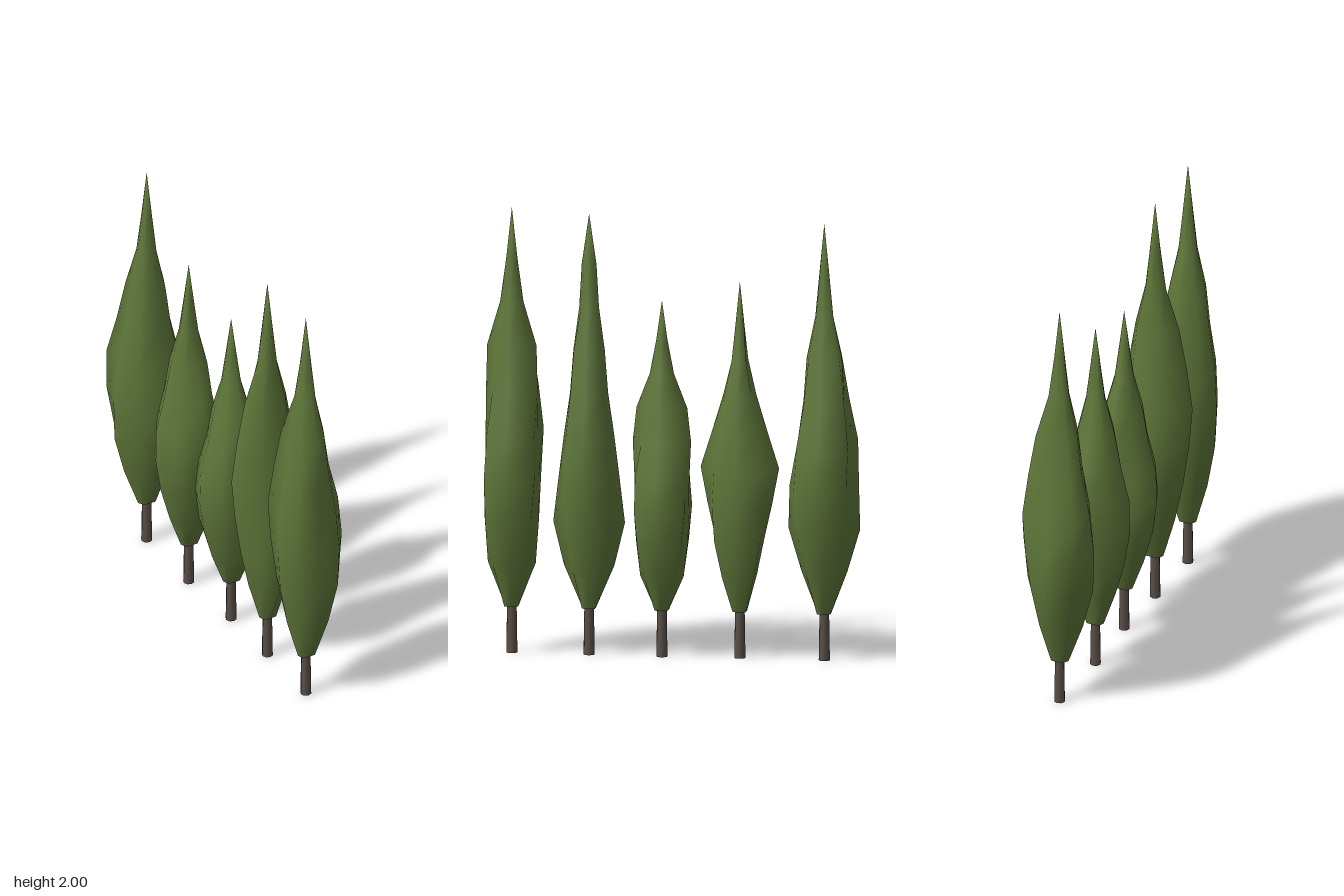
import * as THREE from 'three';

// Typical foliage radius at each ring, from the skirt up to just under the tip
const BASE = [0.04, 0.095, 0.13, 0.14, 0.132, 0.104, 0.085, 0.045, 0.024];
const SIDES = 8;

// Each tree: position, height, radii along z, and [largest radius, ring of the bulge]
// for the other six directions, going round from front-left to front-right
const TREES = [
  { x: 0, z: 0.715, h: 2.0,
    depth: [0.03, 0.107, 0.121, 0.119, 0.117, 0.115, 0.11, 0.052, 0.025],
    bulge: [[0.146, 2], [0.182, 3], [0.165, 4], [0.147, 5], [0.14, 3], [0.14, 3]] },
  { x: 0, z: 0.37, h: 1.98,
    depth: [0.03, 0.113, 0.16, 0.137, 0.113, 0.085, 0.07, 0.044, 0.033],
    bulge: [[0.135, 3], [0.168, 4], [0.14, 2], [0.134, 3], [0.155, 5], [0.125, 3]] },
  { x: 0, z: 0.045, h: 1.6,
    depth: [0.03, 0.097, 0.115, 0.119, 0.123, 0.13, 0.113, 0.054, 0.025],
    bulge: [[0.148, 4], [0.17, 3], [0.165, 4], [0.165, 3], [0.155, 4], [0.158, 3]] },
  { x: -0.02, z: -0.3, h: 1.69,
    depth: [0.03, 0.075, 0.108, 0.144, 0.175, 0.124, 0.075, 0.028, 0.018],
    bulge: [[0.154, 3], [0.133, 3], [0.165, 3], [0.145, 4], [0.165, 4], [0.151, 3]] },
  { x: -0.02, z: -0.677, h: 1.96,
    depth: [0.03, 0.103, 0.16, 0.155, 0.12, 0.093, 0.079, 0.04, 0.022],
    bulge: [[0.168, 3], [0.175, 3], [0.148, 5], [0.185, 4], [0.163, 2], [0.15, 3]] },
];

const FOLIAGE_START = 0.21;

// Radius of one ring corner
function radiusAt(tree, ring, side) {
  if (side % 4 === 0) return tree.depth[ring];
  const [max, peak] = tree.bulge[side < 4 ? side - 1 : side - 2];
  const swell = max / BASE[peak] - 1;
  return BASE[ring] * (1 + swell * Math.exp(-((ring - peak) ** 2) / 4));
}

// Irregular eight-sided spindle with a pointed tip
function foliageGeometry(tree) {
  const positions = [], index = [];
  const rings = BASE.length;
  const step = (tree.h - FOLIAGE_START) * 0.109;
  for (let i = 0; i < rings; i++) {
    for (let k = 0; k < SIDES; k++) {
      const a = (k / SIDES) * Math.PI * 2;
      const r = radiusAt(tree, i, k);
      positions.push(Math.sin(a) * r, FOLIAGE_START + i * step, Math.cos(a) * r);
    }
  }
  const tip = rings * SIDES;
  positions.push(0, tree.h, 0);
  for (let k = 0; k < SIDES; k++) {
    const n = (k + 1) % SIDES;
    for (let i = 0; i < rings - 1; i++) {
      const lo = i * SIDES, hi = lo + SIDES;
      index.push(lo + k, lo + n, hi + n, lo + k, hi + n, hi + k);
    }
    const last = (rings - 1) * SIDES;
    index.push(last + k, last + n, tip);
  }
  // Underside, with its own corners so the edge stays sharp
  const under = tip + 1;
  for (let k = 0; k < SIDES; k++) positions.push(...positions.slice(k * 3, k * 3 + 3));
  for (let k = 1; k < SIDES - 1; k++) index.push(under, under + k + 1, under + k);

  const geo = new THREE.BufferGeometry();
  geo.setAttribute('position', new THREE.Float32BufferAttribute(positions, 3));
  geo.setIndex(index);
  geo.computeVertexNormals();
  return geo;
}

export function createModel() {
  const leafGreen = new THREE.MeshStandardMaterial({ color: 0x5e7639 });
  leafGreen.name = 'leaf green';
  const barkBrown = new THREE.MeshStandardMaterial({ color: 0x5a4f48 });
  barkBrown.name = 'bark brown';

  const model = new THREE.Group();
  model.name = 'cypressRow';
  const trunkGeo = new THREE.CylinderGeometry(0.021, 0.025, 0.24, 8).translate(0, 0.12, 0);

  TREES.forEach((tree, i) => {
    const group = new THREE.Group();
    group.name = `tree${i + 1}`;
    group.position.set(tree.x, 0, tree.z);

    const trunk = new THREE.Mesh(trunkGeo, barkBrown);
    trunk.name = 'trunk';
    const foliage = new THREE.Mesh(foliageGeometry(tree), leafGreen);
    foliage.name = 'foliage';

    group.add(trunk, foliage);
    model.add(group);
  });
  return model;
}
